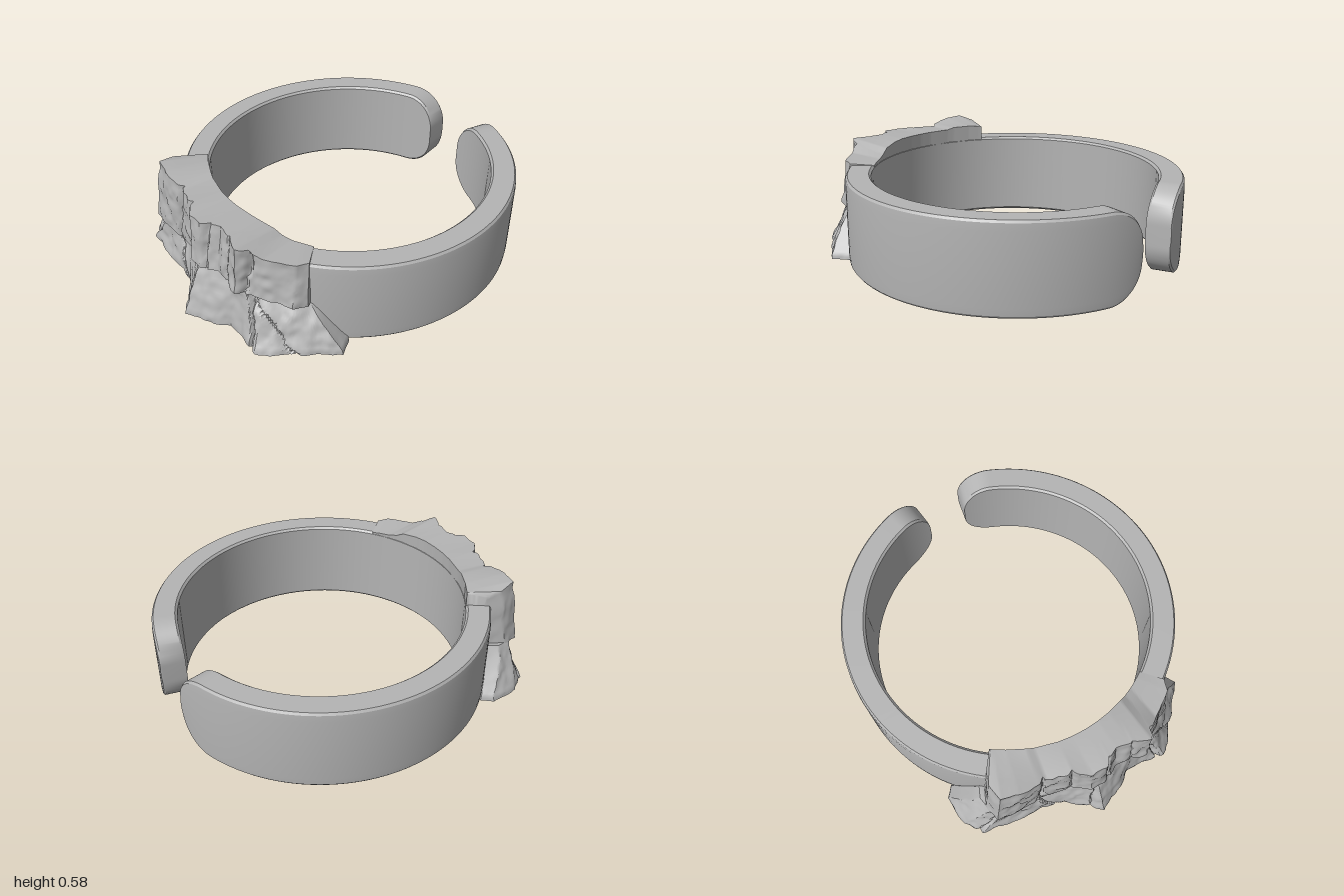
import * as THREE from 'three';
import { toCreasedNormals } from 'three/addons/utils/BufferGeometryUtils.js';

const CZ = -0.11, OUTER = 0.9, INNER = 0.765;
const V = (x, y, z) => new THREE.Vector3(x, y, z);
const onCircle = (x, r) => CZ + Math.sqrt(r * r - x * x);

// Skin a list of columns (each a list of points, running upward on the outside)
function skin(cols, closed, crease) {
  const n = cols[0].length, pos = cols.flat().flatMap(p => [p.x, p.y, p.z]), idx = [];
  for (let i = 0; i < cols.length - 1; i++) {
    for (let j = 0; j < (closed ? n : n - 1); j++) {
      const k = (j + 1) % n, a = i * n + j, b = a + n, c = (i + 1) * n + k, d = i * n + k;
      idx.push(a, b, c, a, c, d);
    }
  }
  const last = (cols.length - 1) * n;
  for (let j = 1; j < n - 1; j++) {
    idx.push(0, j, j + 1, last, last + j + 1, last + j);
  }
  const g = new THREE.BufferGeometry();
  g.setAttribute('position', new THREE.Float32BufferAttribute(pos, 3));
  g.setIndex(idx);
  return toCreasedNormals(g, crease);
}

// Linear resampling of a list, with mix(a, b, t)
function refine(list, counts, mix) {
  const out = [];
  for (let i = 0; i < list.length - 1; i++) {
    const n = counts(i);
    for (let k = 0; k < n; k++) out.push(mix(list[i], list[i + 1], k / n));
  }
  out.push(list[list.length - 1]);
  return out;
}
const mixPoint = (a, b, t) => a.clone().lerp(b, t);
const mixColumn = (a, b, t) => a.map((p, i) => mixPoint(p, b[i], t));

// Smooth seeded value noise
function hash(x, y, z) {
  const s = Math.sin(x * 127.1 + y * 311.7 + z * 74.7) * 43758.5453;
  return s - Math.floor(s);
}
function noise(x, y, z) {
  const [i, j, k] = [x, y, z].map(Math.floor);
  const [u, v, w] = [x - i, y - j, z - k].map(t => t * t * (3 - 2 * t));
  const L = THREE.MathUtils.lerp;
  const edge = (b, c) => L(hash(i, j + b, k + c), hash(i + 1, j + b, k + c), u);
  return L(L(edge(0, 0), edge(1, 0), v), L(edge(0, 1), edge(1, 1), v), w) - 0.5;
}

// Roughen the outer rock face and cut narrow cracks: [x, slant, depth]
function weather(p, cracks, midY) {
  const r = Math.hypot(p.x, p.z - CZ);
  const fade = THREE.MathUtils.smoothstep(r, 0.84, 0.9);
  let d = 0.022 * noise(p.x * 11, p.y * 11, p.z * 11) + 0.012 * noise(p.x * 30, p.y * 26, p.z * 30);
  for (const [x, slant, depth] of cracks) {
    const off = p.x - x - slant * (p.y - midY) - 0.02 * noise(x * 9, p.y * 22, 3);
    d -= depth * Math.exp(-((off / 0.009) ** 2));
  }
  const s = 1 + d * fade / r;
  p.x *= s;
  p.z = CZ + (p.z - CZ) * s;
  return p;
}

function rock(columns, rowCounts, cracks, midY) {
  const spacing = i => Math.max(2, Math.ceil(columns[i][1].distanceTo(columns[i + 1][1]) / 0.011));
  const cols = refine(columns, spacing, mixColumn)
    .map(c => refine(c, i => rowCounts[i], mixPoint).map(p => weather(p.clone(), cracks, midY)));
  return skin(cols, false, 0.6);
}

// Open cuff with rounded ends and lightly bevelled edges
function cuff() {
  const end = Math.PI - 0.147, R = 0.18, y0 = 0.01, y1 = 0.48, b = 0.012, steps = 180;
  const cols = [];
  for (let i = 0; i <= steps; i++) {
    const phi = end * Math.sin((i / steps * 2 - 1) * Math.PI / 2);
    const s = Math.min(R, (end - Math.abs(phi)) * 0.83);
    const inset = R - Math.sqrt(R * R - (R - s) ** 2);
    const lo = y0 + inset, hi = y1 - inset;
    const section = [
      [OUTER - b, lo], [OUTER - 0.003, lo + b], [OUTER, lo + 0.05], [OUTER, hi - 0.05],
      [OUTER - 0.003, hi - b], [OUTER - b, hi],
      [INNER + b, hi], [INNER, hi - b], [INNER, lo + b], [INNER + b, lo],
    ];
    cols.push(section.map(([r, y]) => V(r * Math.sin(phi), y, CZ + r * Math.cos(phi))));
  }
  return skin(cols, true, 0.5);
}

// Upper cliff: bottom x y z, top x y z, inner rim x y
const CLIFF = [
  [-0.53, 0.23, 0.60, -0.50, 0.53, 0.60, -0.44, 0.55],
  [-0.57, 0.23, 0.71, -0.53, 0.56, 0.68, -0.435, 0.555],
  [-0.55, 0.22, 0.80, -0.51, 0.58, 0.77, -0.42, 0.555],
  [-0.42, 0.22, 0.81, -0.42, 0.575, 0.79, -0.37, 0.56],
  [-0.30, 0.215, 0.81, -0.30, 0.555, 0.79, -0.28, 0.56],
  [-0.26, 0.225, 0.81, -0.26, 0.545, 0.785, -0.24, 0.55],
  [-0.13, 0.28, 0.85, -0.13, 0.555, 0.81, -0.12, 0.55],
  [-0.05, 0.29, 0.90, -0.05, 0.55, 0.87, -0.05, 0.55],
  [0.03, 0.285, 0.90, 0.03, 0.555, 0.87, 0.03, 0.55],
  [0.12, 0.30, 0.86, 0.12, 0.555, 0.81, 0.11, 0.55],
  [0.20, 0.30, 0.86, 0.20, 0.555, 0.83, 0.18, 0.545],
  [0.30, 0.29, 0.88, 0.30, 0.555, 0.86, 0.27, 0.53],
  [0.35, 0.28, 0.82, 0.34, 0.53, 0.80, 0.31, 0.505],
  [0.40, 0.27, 0.79, 0.39, 0.50, 0.76, 0.36, 0.49],
  [0.53, 0.25, 0.71, 0.52, 0.495, 0.67, 0.42, 0.485],
  [0.56, 0.24, 0.64, 0.54, 0.49, 0.61, 0.45, 0.48],
];

// Lower slope: foot x z, shoulder x y z
const SLOPE = [
  [-0.68, 0.48, -0.56, 0.24, 0.60],
  [-0.73, 0.54, -0.58, 0.24, 0.66],
  [-0.71, 0.70, -0.56, 0.23, 0.74],
  [-0.64, 0.79, -0.48, 0.23, 0.78],
  [-0.50, 0.81, -0.42, 0.22, 0.78],
  [-0.33, 0.82, -0.30, 0.22, 0.79],
  [-0.17, 0.86, -0.20, 0.25, 0.80],
  [-0.08, 0.93, -0.10, 0.29, 0.83],
  [0.00, 1.00, 0.00, 0.29, 0.88],
  [0.08, 0.95, 0.10, 0.30, 0.85],
  [0.15, 0.93, 0.18, 0.30, 0.82],
  [0.22, 0.87, 0.26, 0.30, 0.83],
  [0.32, 0.87, 0.33, 0.29, 0.82],
  [0.45, 0.89, 0.38, 0.27, 0.77],
  [0.51, 0.83, 0.45, 0.26, 0.72],
  [0.62, 0.70, 0.52, 0.25, 0.66],
  [0.74, 0.57, 0.55, 0.24, 0.62],
  [0.68, 0.48, 0.55, 0.24, 0.60],
];

export function createModel() {
  const group = new THREE.Group();
  const metal = new THREE.MeshStandardMaterial({ color: 0xb4b4b4, side: THREE.DoubleSide });
  metal.name = 'grey metal';
  const add = (name, geometry) => {
    const mesh = new THREE.Mesh(geometry, metal);
    mesh.name = name;
    group.add(mesh);
  };

  add('cuff', cuff());

  const cliff = CLIFF.map(([bx, by, bz, tx, ty, tz, ix, iy]) => [
    V(bx * 0.9, by + 0.01, onCircle(bx * 0.9, 0.82)),
    V(bx, by, bz),
    V(tx, ty, tz),
    V(ix, iy, onCircle(ix, INNER)),
    V(ix, 0.45, onCircle(ix, INNER + 0.003)),
  ]);
  add('upperCliff', rock(cliff, [2, 22, 8, 2],
    [[-0.29, 0.08, 0.025], [-0.135, 0, 0.015], [0.06, 0, 0.015], [0.21, 0, 0.012], [0.33, 0.05, 0.02]], 0.4));

  const slope = SLOPE.map(([fx, fz, sx, sy, sz]) => [
    V(fx * 0.85, 0.012, onCircle(fx * 0.85, 0.84)),
    V(fx, 0.004, fz),
    V(fx * 0.97 + sx * 0.03, 0.03, fz * 0.97 + sz * 0.03),
    V(sx, sy, sz),
    V(sx * 0.9, sy + 0.02, onCircle(sx * 0.9, 0.82)),
  ]);
  add('lowerSlope', rock(slope, [3, 2, 20, 2],
    [[-0.56, 0.8, 0.02], [-0.29, -0.6, 0.02], [-0.03, 0.15, 0.025], [0.38, -0.3, 0.03], [0.47, -0.9, 0.015]], 0.13));

  return group;
}
